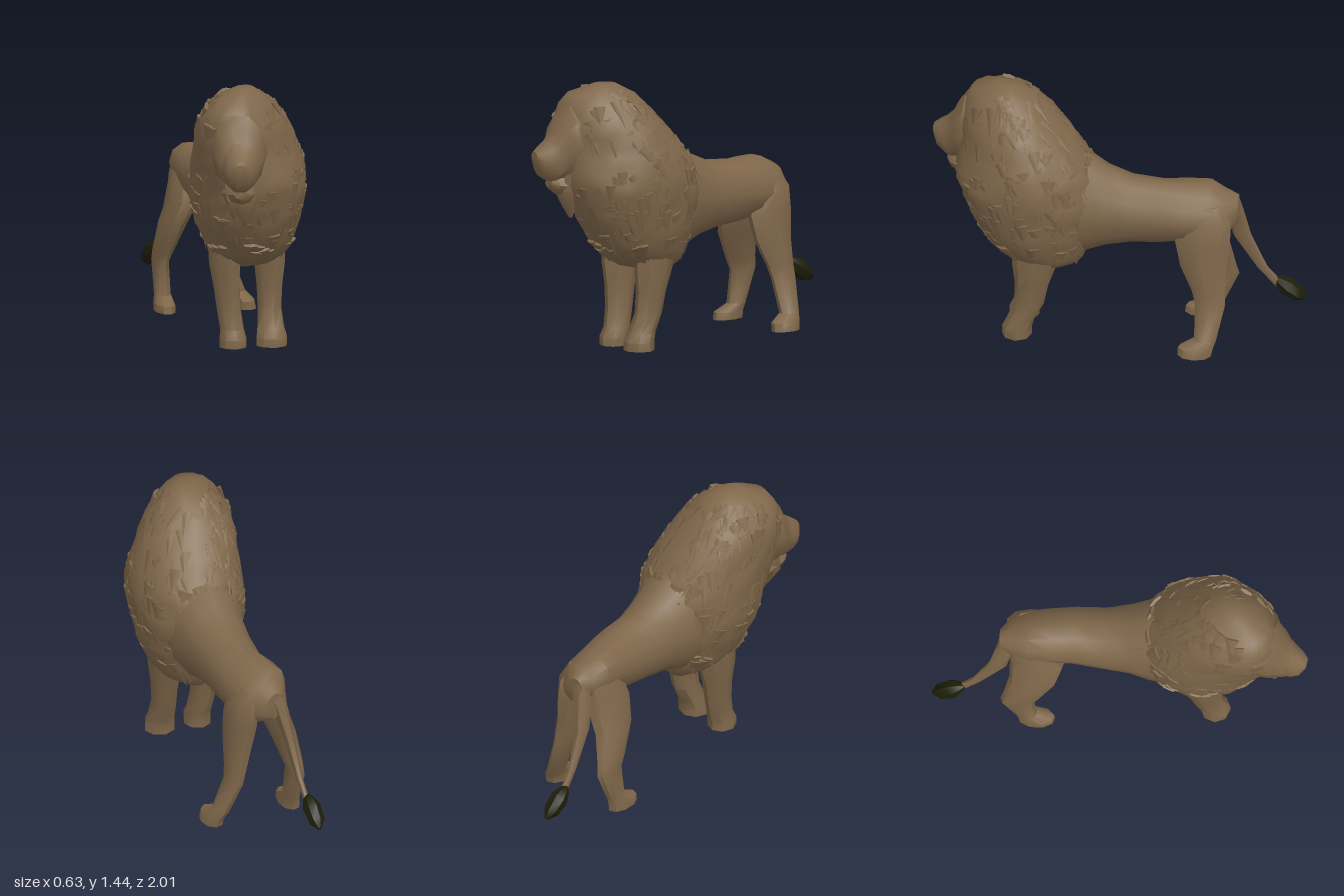
import * as THREE from 'three';
import { mergeGeometries, toCreasedNormals } from 'three/addons/utils/BufferGeometryUtils.js';

const coat = new THREE.MeshStandardMaterial({ color: 0x7f674a });
coat.name = 'brown coat';
const dark = new THREE.MeshStandardMaterial({ color: 0x1d1d08 });
dark.name = 'dark tail tip';

let seed = 7;
const rand = () => (seed = (seed * 16807) % 2147483647) / 2147483647;
const jitter = (a) => (rand() * 2 - 1) * a;

// Joins elliptical sections [x, y, z, rx, r2] into a closed skin.
// Flat rings run bottom to top; upright rings run front to back.
function loft(sections, { upright = false, sides = 10, rough = 0, bend = null, crease = 0.8 } = {}) {
  const pos = [], index = [], n = sections.length;
  for (const [cx, cy, cz, rx, r2] of sections) {
    for (let j = 0; j < sides; j++) {
      const t = (j / sides) * Math.PI * 2, k = 1 + jitter(rough);
      const a = Math.cos(t) * rx * k, b = Math.sin(t) * r2 * k;
      const p = new THREE.Vector3(cx + a, cy + (upright ? b : 0), cz + (upright ? 0 : b));
      if (bend) bend(p);
      pos.push(p.x, p.y, p.z);
    }
  }
  for (const s of [sections[0], sections[n - 1]]) {
    const p = new THREE.Vector3(s[0], s[1], s[2]);
    if (bend) bend(p);
    pos.push(p.x, p.y, p.z);
  }
  for (let j = 0; j < sides; j++) {
    const k = (j + 1) % sides, top = (n - 1) * sides;
    for (let i = 0; i < n - 1; i++) {
      const a = i * sides + j, b = i * sides + k;
      index.push(a, a + sides, b, b, a + sides, b + sides);
    }
    index.push(n * sides, j, k, n * sides + 1, top + k, top + j);
  }
  const g = new THREE.BufferGeometry();
  g.setAttribute('position', new THREE.Float32BufferAttribute(pos, 3));
  g.setIndex(index);
  return toCreasedNormals(g, crease);
}

// Hips tilt: the right side is carried higher in mid stride
function tiltHips(p) {
  p.y -= 0.25 * p.x * THREE.MathUtils.smoothstep(-p.z, 0.2, 0.48);
}

// Mane profile rows: y, centre x, half width, back z, front z
const maneRows = [
  [0.4, 0.01, 0.04, 0.24, 0.34], [0.46, 0.02, 0.17, 0.18, 0.58], [0.52, 0.01, 0.215, 0.15, 0.66],
  [0.6, 0.01, 0.245, 0.12, 0.72], [0.7, 0, 0.28, 0.09, 0.775], [0.8, 0, 0.3, 0.07, 0.82],
  [0.9, 0, 0.305, 0.07, 0.855], [1, -0.005, 0.3, 0.11, 0.86], [1.1, -0.02, 0.285, 0.18, 0.855],
  [1.2, -0.045, 0.265, 0.26, 0.85], [1.3, -0.06, 0.225, 0.35, 0.835], [1.38, -0.07, 0.155, 0.43, 0.795],
  [1.425, -0.06, 0.095, 0.5, 0.73], [1.44, -0.05, 0.05, 0.55, 0.66],
];
function maneSection(y) {
  let i = 0;
  while (i < maneRows.length - 2 && maneRows[i + 1][0] < y) i++;
  const a = maneRows[i], b = maneRows[i + 1], f = (y - a[0]) / (b[0] - a[0]);
  const [, cx, w, back, front] = a.map((v, k) => v + (b[k] - v) * f);
  return [cx, y, (back + front) / 2, w, (front - back) / 2];
}
// Upper mane follows the head, which turns to one side
function turnMane(p) {
  const f = Math.max(0, p.z - 0.55) * THREE.MathUtils.smoothstep(p.y, 0.85, 1.1);
  p.x -= f * 0.25;
}
function manePoint(t, y) {
  const [cx, , cz, rx, rz] = maneSection(y);
  const p = new THREE.Vector3(cx + Math.cos(t) * rx, y, cz + Math.sin(t) * rz);
  turnMane(p);
  return p;
}

// Thin pointed locks lying down the mane
function maneLocks(count) {
  const list = [], m = new THREE.Matrix4();
  while (list.length < count) {
    const t = rand() * Math.PI * 2, y = 0.5 + rand() * 0.87;
    const p = manePoint(t, y);
    const onFace = p.z > 0.68 && y > 0.92 && p.x < 0.04 && p.x > -0.29;
    if (onFace) continue;
    const down = manePoint(t, Math.max(0.43, y - 0.04)).sub(p).normalize();
    const side = manePoint(t + 0.05, y).sub(p).normalize();
    const out = side.clone().cross(down).normalize();
    if (out.dot(new THREE.Vector3(Math.cos(t), 0.2, Math.sin(t))) < 0) out.negate();
    const axis = down.addScaledVector(out, 0.09).addScaledVector(side, jitter(0.4)).normalize();
    const across = axis.clone().cross(out).normalize();
    const normal = across.clone().cross(axis).normalize();
    const g = new THREE.ConeGeometry(0.025 + rand() * 0.02, 0.11 + rand() * 0.07, 6, 1);
    g.scale(1, 1, 0.28);
    m.makeBasis(across, axis, normal).setPosition(p.addScaledVector(out, -0.004));
    g.applyMatrix4(m);
    list.push(g);
  }
  return mergeGeometries(list);
}

export function createModel() {
  const lion = new THREE.Group();
  lion.name = 'lion';
  const add = (name, geometry, material = coat, parent = lion) => {
    const mesh = new THREE.Mesh(geometry, material);
    mesh.name = name;
    parent.add(mesh);
    return mesh;
  };

  // Trunk from chest to rump
  add('body', loft([
    [0, 0.78, 0.5, 0.22, 0.28], [0, 0.8, 0.25, 0.23, 0.31], [0, 0.785, 0.15, 0.205, 0.285],
    [0.005, 0.77, 0.05, 0.18, 0.23], [0.005, 0.755, -0.08, 0.163, 0.19],
    [0.015, 0.755, -0.25, 0.152, 0.175], [0.005, 0.765, -0.38, 0.155, 0.155],
    [-0.005, 0.77, -0.5, 0.15, 0.138], [0, 0.755, -0.58, 0.12, 0.115],
    [-0.03, 0.755, -0.65, 0.055, 0.075],
  ], { upright: true, sides: 12, bend: tiltHips }));

  // Mane and its locks
  const rows = [];
  for (let i = 0; i <= 20; i++) rows.push(maneSection(0.4 + (1.04 * i) / 20));
  add('mane', loft(rows, { sides: 28, rough: 0.03, bend: turnMane, crease: 0.8 }));
  add('maneLocks', maneLocks(260));

  // Head, turned towards its right
  const head = new THREE.Group();
  head.name = 'head';
  head.position.set(-0.13, 1.1, 0.66);
  head.rotation.y = -0.2;
  lion.add(head);
  add('face', loft([
    [0, -0.03, 0.345, 0.03, 0.03], [0, -0.055, 0.315, 0.065, 0.08], [0.005, -0.055, 0.275, 0.085, 0.11],
    [0.01, -0.04, 0.235, 0.1, 0.14], [0.01, 0.0, 0.205, 0.125, 0.17], [0.01, 0.03, 0.155, 0.15, 0.21],
    [0.01, 0.04, -0.05, 0.16, 0.22],
  ], { upright: true, sides: 10, crease: 0.7 }), coat, head);
  add('chin', loft([
    [0.01, -0.18, 0.26, 0.035, 0.025], [0.015, -0.185, 0.23, 0.065, 0.05],
    [0.02, -0.2, 0.1, 0.1, 0.09],
  ], { upright: true, sides: 8 }), coat, head);
  add('beard', loft([
    [0.04, -0.37, 0.14, 0.01, 0.01], [0.035, -0.3, 0.155, 0.05, 0.035],
    [0.02, -0.22, 0.165, 0.09, 0.055], [0.02, -0.12, 0.15, 0.1, 0.055],
  ], { sides: 7 }), coat, head);

  // Front legs with forward paws
  const frontLeg = (foot, z, spread, top) => loft([
    [foot, 0.005, z, spread, 0.08], [foot, 0.05, z, spread, 0.08],
    [foot, 0.1, z - 0.02, spread * 0.88, 0.075], [foot * 0.6 + top * 0.4, 0.2, 0.46, 0.066, 0.08],
    [foot * 0.3 + top * 0.7, 0.32, 0.445, 0.072, 0.09], [top, 0.45, 0.43, 0.086, 0.12],
    [top, 0.65, 0.4, 0.09, 0.15],
  ], { sides: 8 });
  add('leftFrontLeg', frontLeg(0.115, 0.525, 0.085, 0.13));
  add('rightFrontLeg', frontLeg(-0.095, 0.505, 0.075, -0.12));

  // Hind legs: paw, hock, thigh; the left hock sits further in and forward
  add('leftHindLeg', loft([
    [0.25, 0.005, -0.44, 0.06, 0.09], [0.245, 0.05, -0.445, 0.055, 0.095],
    [0.22, 0.09, -0.495, 0.046, 0.06], [0.155, 0.27, -0.515, 0.045, 0.082],
    [0.14, 0.34, -0.505, 0.052, 0.09], [0.115, 0.48, -0.475, 0.065, 0.125],
    [0.095, 0.62, -0.47, 0.075, 0.15], [0.08, 0.75, -0.485, 0.075, 0.135],
    [0.06, 0.83, -0.49, 0.05, 0.08],
  ], { sides: 9 }));
  add('rightHindLeg', loft([
    [-0.195, 0.01, -0.445, 0.055, 0.1], [-0.195, 0.05, -0.45, 0.055, 0.1],
    [-0.19, 0.09, -0.5, 0.045, 0.058], [-0.19, 0.27, -0.55, 0.042, 0.09],
    [-0.18, 0.33, -0.525, 0.052, 0.1], [-0.145, 0.49, -0.465, 0.07, 0.13],
    [-0.095, 0.62, -0.445, 0.08, 0.15], [-0.075, 0.76, -0.47, 0.08, 0.13],
    [-0.07, 0.85, -0.5, 0.05, 0.08],
  ], { sides: 9 }));

  // Tail, wide at the root, with a dark tip
  add('tail', loft([
    [-0.125, 0.23, -0.87, 0.015, 0.03], [-0.115, 0.36, -0.765, 0.018, 0.03],
    [-0.1, 0.56, -0.66, 0.03, 0.05], [-0.07, 0.72, -0.625, 0.042, 0.05],
    [-0.045, 0.82, -0.625, 0.045, 0.025],
  ], { sides: 7 }));
  const tuft = add('tailTuft', loft([
    [0, -0.105, 0, 0.012, 0.012], [0, -0.06, 0, 0.045, 0.042], [0, 0.02, 0, 0.05, 0.055],
    [0, 0.075, 0, 0.03, 0.032], [0, 0.1, 0, 0.012, 0.012],
  ], { sides: 7, crease: 0.5 }), dark);
  tuft.position.set(-0.13, 0.225, -0.915);
  tuft.rotation.x = 0.95;

  return lion;
}
